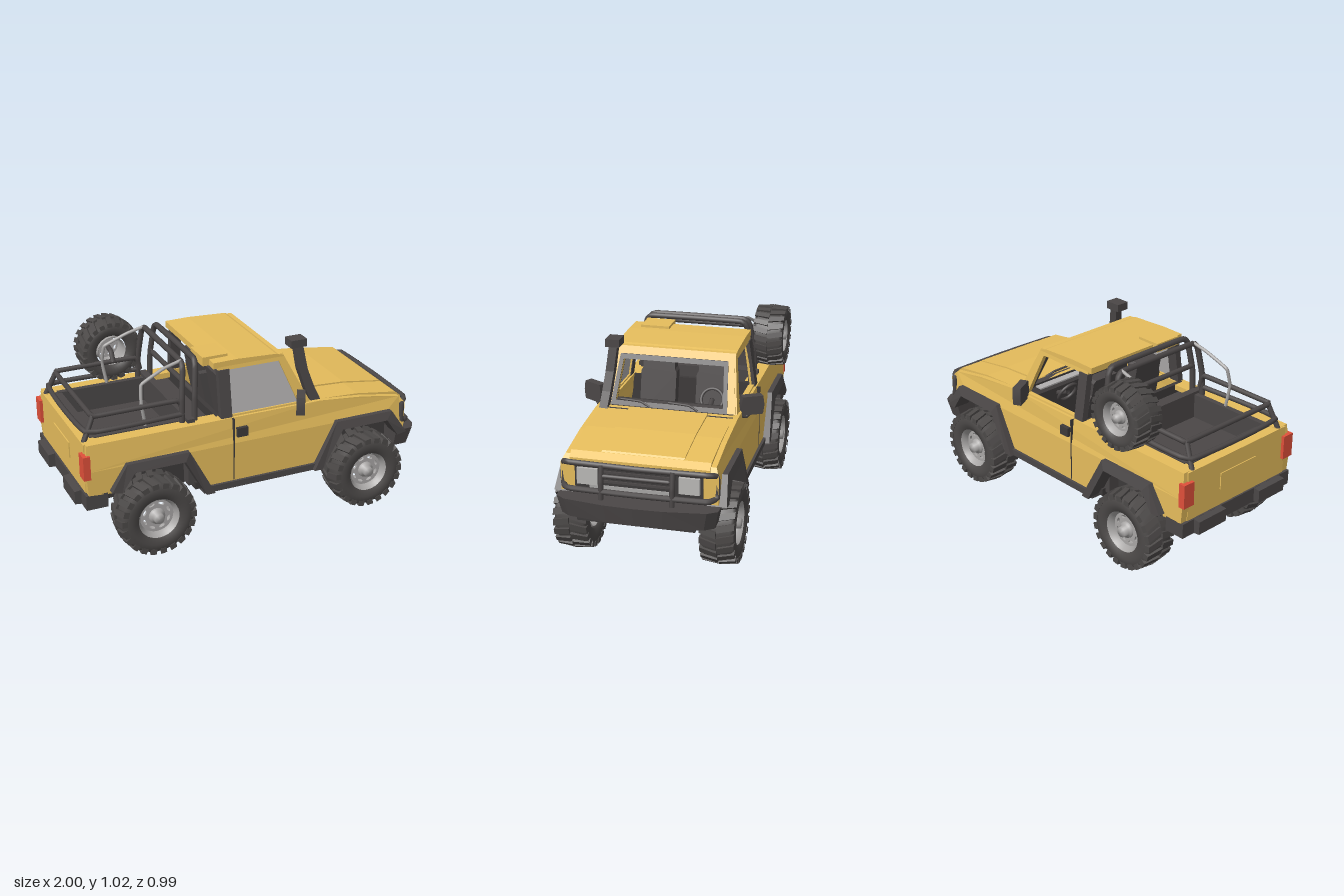
import * as THREE from 'three';

const mat = (name, color, side = THREE.FrontSide) => {
  const m = new THREE.MeshStandardMaterial({ color, side });
  m.name = name;
  return m;
};

export function createModel() {
  const model = new THREE.Group();
  model.name = 'offRoadPickup';
  const paint = mat('yellowPaint', 0xe6bd5c);
  const trim = mat('darkTrim', 0x4b4747, THREE.DoubleSide);
  const rubber = mat('tyreRubber', 0x4c4948);
  const under = mat('blackUnderbody', 0x3d3a3a);
  const metal = mat('greyMetal', 0xa8a6a5, THREE.DoubleSide);
  const glass = mat('greyGlass', 0xb2b0b0, THREE.DoubleSide);
  const red = mat('redLamp', 0xe0503a);
  const lamp = mat('headlampGrey', 0xbab8b6);

  const add = (name, geo, m, parent = model) => {
    const mesh = new THREE.Mesh(geo, m);
    mesh.name = name;
    parent.add(mesh);
    return mesh;
  };
  // box given by its ranges in x, y and z
  const box = (name, m, [x0, x1], [y0, y1], [z0, z1]) => {
    const g = new THREE.BoxGeometry(x1 - x0, y1 - y0, z1 - z0);
    g.translate((x0 + x1) / 2, (y0 + y1) / 2, (z0 + z1) / 2);
    return add(name, g, m);
  };
  const poly = pts => pts.map(p => new THREE.Vector2(...p));
  const extrude = (pts, depth, hole) => {
    const s = new THREE.Shape(poly(pts));
    if (hole) s.holes.push(new THREE.Path(poly(hole)));
    return new THREE.ExtrudeGeometry(s, { depth, bevelEnabled: false });
  };
  const warp = (g, rule) => {
    const p = g.attributes.position;
    for (let i = 0; i < p.count; i++) p.setXYZ(i, ...rule(p.getX(i), p.getY(i), p.getZ(i)));
    g.computeVertexNormals();
    return g;
  };
  const tube = (name, m, pts, r, closed = false) => {
    const c = new THREE.CatmullRomCurve3(pts.map(p => new THREE.Vector3(...p)), closed, 'catmullrom', 0.15);
    return add(name, new THREE.TubeGeometry(c, pts.length * 8, r, 8, closed), m);
  };
  // a side profile extruded on both sides, from z0 to z1
  const bothSides = (name, m, pts, z0, z1, rule, hole) => {
    for (const s of [1, -1]) {
      const g = extrude(pts, z1 - z0, hole);
      g.translate(0, 0, s > 0 ? z0 : -z1);
      if (rule) warp(g, (x, y, z) => [x, y, z - s * rule(y)]);
      add(name, g, m);
    }
  };
  const slab = (name, m, pts, z0, z1) => add(name, extrude(pts, z1 - z0).translate(0, 0, z0), m);

  // Body sides, bonnet and nose
  bothSides('bodySide', paint, [[-0.95, 0.4], [-0.96, 0.53], [-0.945, 0.67], [0.36, 0.67], [0.62, 0.645],
    [0.85, 0.605], [0.88, 0.57], [0.88, 0.42], [0.84, 0.42], [0.76, 0.53], [0.46, 0.53], [0.34, 0.31],
    [-0.305, 0.31], [-0.425, 0.53], [-0.725, 0.53], [-0.83, 0.39]], 0.35, 0.4, y => y > 0.6 ? 0.018 : 0);
  slab('bonnet', paint, [[0.3, 0.6], [0.3, 0.672], [0.6, 0.656], [0.84, 0.622], [0.875, 0.595], [0.875, 0.55]], -0.355, 0.355);
  slab('bonnetBulge', paint, [[0.32, 0.65], [0.34, 0.679], [0.6, 0.664], [0.83, 0.63], [0.86, 0.6]], -0.22, 0.2);
  box('bonnetSeam', trim, [0.355, 0.36], [0.6, 0.673], [-0.355, 0.355]);
  box('nose', paint, [0.83, 0.88], [0.42, 0.58], [-0.36, 0.36]);
  box('grille', under, [0.88, 0.886], [0.435, 0.57], [-0.325, 0.325]);
  box('grilleStrip', metal, [0.885, 0.892], [0.443, 0.467], [-0.17, 0.25]);
  for (const y of [0.49, 0.515, 0.54]) box('grilleSlat', trim, [0.885, 0.895], [y - 0.006, y + 0.006], [-0.18, 0.18]);
  for (const s of [1, -1]) {
    const h = add('headlamp', new THREE.BoxGeometry(0.02, 0.085, 0.105), lamp);
    h.position.set(0.892, 0.512, s * 0.258);
  }

  // Tailgate and bed
  box('tailgate', paint, [-0.955, -0.9], [0.4, 0.668], [-0.36, 0.36]);
  box('tailgatePanel', paint, [-0.961, -0.955], [0.49, 0.58], [-0.13, 0.13]);
  box('bedFloor', trim, [-0.9, -0.36], [0.51, 0.54], [-0.35, 0.35]);
  box('bedFrontWall', trim, [-0.39, -0.35], [0.31, 0.69], [-0.35, 0.35]);
  box('bedRearWall', trim, [-0.9, -0.86], [0.54, 0.672], [-0.3, 0.3]);
  for (const s of [1, -1]) {
    box('bedSideWall', trim, [-0.88, -0.36], [0.54, 0.675], s > 0 ? [0.28, 0.31] : [-0.31, -0.28]);
    box('bedRim', paint, [-0.94, -0.21], [0.64, 0.67], s > 0 ? [0.3, 0.36] : [-0.36, -0.3]);
    box('tailLamp', red, [-0.972, -0.935], [0.49, 0.62], s > 0 ? [0.335, 0.404] : [-0.404, -0.335]);
  }
  box('rearDeck', trim, [-0.36, -0.21], [0.58, 0.62], [-0.35, 0.35]);

  // Underbody: flat belly, shallow keels over the axles, short axle stubs
  box('rearBelly', under, [-0.93, -0.34], [0.3, 0.53], [-0.285, 0.285]);
  box('engineBay', under, [0.34, 0.86], [0.295, 0.6], [-0.285, 0.285]);
  box('cabFloor', under, [-0.36, 0.36], [0.29, 0.33], [-0.37, 0.37]);
  bothSides('sill', trim, [[-0.33, 0.28], [-0.33, 0.315], [0.34, 0.315], [0.34, 0.28]], 0.35, 0.415);
  for (const x of [-0.6, 0.635]) {
    slab('axleKeel', under, [[x - 0.24, 0.31], [x - 0.08, 0.215], [x + 0.08, 0.215], [x + 0.24, 0.31]], -0.17, 0.17);
    for (const s of [1, -1]) {
      add('axleArm', new THREE.CylinderGeometry(0.032, 0.048, 0.15, 12).rotateX(s * Math.PI / 2).translate(x, 0.235, s * 0.225), under);
      add('axleStub', new THREE.CylinderGeometry(0.03, 0.03, 0.06, 12).rotateX(Math.PI / 2).translate(x, 0.225, s * 0.325), metal);
    }
  }

  // Wheel-arch flares, mirrored front to rear
  const flare = [[0.31, 0.285], [0.36, 0.285], [0.475, 0.5], [0.75, 0.5], [0.82, 0.4], [0.875, 0.41], [0.785, 0.545], [0.445, 0.545]];
  const flareLean = y => y > 0.53 ? 0.015 : 0;
  bothSides('frontFlare', trim, flare, 0.34, 0.44, flareLean);
  bothSides('rearFlare', trim, flare.map(([x, y]) => [0.035 - x, y]).reverse(), 0.34, 0.44, flareLean);

  // Bumpers and bull bar
  const bumper = [[0.83, -0.41], [0.93, -0.41], [0.965, -0.36], [0.995, -0.15], [1, 0], [0.995, 0.15], [0.965, 0.36], [0.93, 0.41], [0.83, 0.41]];
  add('frontBumper', warp(extrude(bumper, 0.1).rotateX(Math.PI / 2).translate(0, 0.41, 0),
    (x, y, z) => [y < 0.35 && x > 0.9 ? x - 0.02 : x, y, y < 0.35 ? z * 0.95 : z]), trim);
  box('bumperSkid', under, [0.8, 0.95], [0.295, 0.33], [-0.3, 0.3]);
  box('rearBumper', trim, [-0.965, -0.85], [0.32, 0.4], [-0.4, 0.4]);
  bothSides('rearBumperStep', trim, [[-1, 0.325], [-0.96, 0.32], [-0.96, 0.4], [-1, 0.395]], 0.125, 0.32);
  tube('bullBarFrame', trim, [[0.87, 0.455, -0.39], [0.92, 0.45, -0.35], [0.93, 0.45, 0], [0.92, 0.45, 0.35], [0.87, 0.455, 0.39],
    [0.865, 0.565, 0.39], [0.9, 0.58, 0.35], [0.91, 0.58, 0], [0.9, 0.58, -0.35], [0.865, 0.565, -0.39]], 0.015, true);
  tube('bullBarMiddle', trim, [[0.915, 0.53, -0.18], [0.92, 0.53, 0.18]], 0.011);
  for (const s of [1, -1]) tube('bullBarUpright', trim, [[0.93, 0.4, s * 0.18], [0.925, 0.5, s * 0.18], [0.91, 0.585, s * 0.18]], 0.014);

  // Cab frame: windscreen surround, door frames and roof
  const screen = (name, m, outer, hole, depth, off) => {
    const g = extrude(outer, depth, hole).rotateY(Math.PI / 2);
    return add(name, warp(g, (x, y, z) => [x + off + 0.31 - (y - 0.66) * 0.52, y, z]), m);
  };
  const opening = [[-0.29, 0.695], [0.29, 0.695], [0.272, 0.893], [-0.272, 0.893]];
  screen('windscreenFrame', paint, [[-0.36, 0.66], [0.36, 0.66], [0.315, 0.955], [-0.315, 0.955]], opening, 0.03, -0.025);
  screen('windscreenSeal', trim, [[-0.315, 0.67], [0.315, 0.67], [0.292, 0.917], [-0.292, 0.917]], opening, 0.04, -0.03);
  for (const z of [0.1, -0.16]) tube('wiper', trim, [[0.325, 0.68, z], [0.312, 0.7, z + 0.05], [0.308, 0.705, z + 0.16]], 0.006);
  const lean = y => Math.max(0, y - 0.66) * 0.15;
  bothSides('doorFrame', paint, [[-0.21, 0.65], [0.315, 0.65], [0.16, 0.955], [-0.21, 0.955]], 0.345, 0.37, lean,
    [[-0.15, 0.68], [0.235, 0.68], [0.135, 0.92], [-0.15, 0.92]]);
  bothSides('centrePillar', trim, [[-0.212, 0.67], [-0.15, 0.67], [-0.15, 0.925], [-0.212, 0.925]], 0.34, 0.376, lean);
  const pane = extrude([[-0.15, 0.675], [0.24, 0.675], [0.137, 0.922], [-0.15, 0.922]], 0.005).translate(0, 0, 0.355);
  add('doorGlass', warp(pane, (x, y, z) => [x, y, z - lean(y)]), glass);
  slab('roof', paint, [[-0.235, 0.935], [-0.235, 0.968], [-0.1, 0.97], [0.12, 0.96], [0.165, 0.945], [0.165, 0.93]], -0.328, 0.328);
  box('roofScoop', paint, [-0.27, -0.13], [0.935, 0.983], [0.11, 0.27]);

  // Door details and mirrors
  for (const s of [1, -1]) {
    const span = (a, b) => s > 0 ? [a, b] : [-b, -a];
    box('doorSeam', under, [-0.155, -0.149], [0.32, 0.67], span(0.37, 0.402));
    box('doorHandle', under, [-0.135, -0.075], [0.565, 0.615], span(0.385, 0.41));
    const m = add('mirror', new THREE.BoxGeometry(0.045, 0.1, 0.125, 1, 2, 2), trim);
    warp(m.geometry, (x, y, z) => [x, y, Math.abs(y) > 0.04 ? z * 0.88 : z]);
    m.position.set(0.22, 0.705, s * 0.427);
    m.rotation.y = -s * 0.5;
    tube('mirrorArm', trim, [[0.26, 0.66, s * 0.36], [0.24, 0.645, s * 0.4], [0.225, 0.67, s * 0.42]], 0.014);
  }

  // Snorkel
  const stem = extrude([[0.33, 0.63], [0.38, 0.65], [0.335, 0.75], [0.3, 0.85], [0.275, 0.99], [0.23, 0.99], [0.25, 0.85], [0.285, 0.74]], 0.045);
  add('snorkelStem', warp(stem, (x, y, z) => [x, y, z + 0.32 - (y - 0.63) * 0.1]), trim);
  box('snorkelHead', trim, [0.2, 0.29], [0.98, 1.022], [0.27, 0.345]);

  // Cab interior
  box('dashboard', under, [0.19, 0.32], [0.5, 0.672], [-0.35, 0.35]);
  box('dashboardTop', glass, [0.225, 0.285], [0.672, 0.68], [-0.28, 0.27]);
  box('cabRearWall', under, [-0.225, -0.2], [0.31, 0.67], [-0.36, 0.36]);
  for (const z of [-0.16, 0.155]) {
    box('seatCushion', trim, [-0.17, 0.07], [0.33, 0.52], [z - 0.1, z + 0.1]);
    const back = extrude([[-0.1, 0.5], [0.1, 0.5], [0.1, 0.74], [0.09, 0.755], [0.09, 0.83], [0.075, 0.845], [-0.075, 0.845],
      [-0.09, 0.83], [-0.09, 0.755], [-0.1, 0.74]], 0.07);
    add('seatBack', warp(back.rotateY(Math.PI / 2), (x, y, zz) => [x - 0.1 - (y - 0.5) * 0.2, y, zz + z]), trim);
  }
  const steer = add('steeringWheel', new THREE.TorusGeometry(0.06, 0.009, 8, 24), trim);
  steer.position.set(0.11, 0.67, -0.19);
  steer.rotation.set(0, Math.PI / 2, 0.5, 'ZYX');
  tube('steeringColumn', trim, [[0.11, 0.67, -0.19], [0.24, 0.62, -0.19]], 0.014);

  // Roll hoops, bed rails and braces
  for (const [x, h] of [[-0.32, 1], [-0.39, 0.995]]) {
    tube('rollHoop', trim, [[x - 0.02, 0.63, -0.32], [x - 0.015, 0.8, -0.315], [x, 0.95, -0.29], [x + 0.005, h - 0.015, -0.25],
      [x + 0.005, h - 0.015, 0.25], [x, 0.95, 0.29], [x - 0.015, 0.8, 0.315], [x - 0.02, 0.63, 0.32]], 0.016);
  }
  tube('hoopCrossBar', trim, [[-0.335, 0.82, -0.31], [-0.335, 0.82, 0.31]], 0.014);
  tube('upperBedRail', trim, [[-0.4, 0.72, 0.31], [-0.43, 0.79, 0.31], [-0.87, 0.79, 0.31], [-0.885, 0.79, 0.29],
    [-0.885, 0.79, -0.29], [-0.87, 0.79, -0.31], [-0.43, 0.79, -0.31], [-0.4, 0.72, -0.31]], 0.014);
  tube('lowerBedRail', trim, [[-0.4, 0.715, 0.32], [-0.92, 0.715, 0.32], [-0.92, 0.715, -0.32], [-0.4, 0.715, -0.32]], 0.014);
  for (const s of [1, -1]) {
    tube('railEnd', trim, [[-0.88, 0.79, s * 0.3], [-0.94, 0.66, s * 0.32]], 0.014);
    tube('hoopBrace', metal, [[-0.385, 0.985, s * 0.26], [-0.48, 0.96, s * 0.265], [-0.61, 0.9, s * 0.28], [-0.62, 0.8, s * 0.3], [-0.6, 0.68, s * 0.295]], 0.009);
  }

  // Wheels with staggered tread lugs and a pierced rim
  const makeWheel = name => {
    const w = new THREE.Group();
    w.name = name;
    const turn = (pts, n) => new THREE.LatheGeometry(poly(pts), n).rotateX(Math.PI / 2);
    add('tyre', turn([[0.105, -0.06], [0.112, -0.078], [0.15, -0.088], [0.185, -0.084], [0.198, -0.068], [0.202, 0],
      [0.198, 0.068], [0.185, 0.084], [0.15, 0.088], [0.112, 0.078], [0.105, 0.06]], 40), rubber, w);
    for (let i = 0; i < 44; i++) {
      const s = i % 2 ? 1 : -1, a = i * Math.PI / 22;
      const g = new THREE.BoxGeometry(0.034, 0.03, 0.086);
      warp(g, (x, y, z) => [x + s * z * 0.25, y - (s * z > 0 ? 0.01 : 0), z]);
      add('treadLug', g.translate(0, 0.2, s * 0.045).rotateZ(a), rubber, w);
    }
    add('rimBarrel', turn([[0.098, -0.075], [0.088, -0.06], [0.088, 0.03], [0.098, 0.06], [0.112, 0.078]], 32), metal, w);
    const disc = new THREE.Shape().absarc(0, 0, 0.092, 0, Math.PI * 2);
    for (let i = 0; i < 8; i++) {
      const a = i * Math.PI / 4 + 0.39;
      disc.holes.push(new THREE.Path().absellipse(0.07 * Math.cos(a), 0.07 * Math.sin(a), 0.008, 0.017, 0, Math.PI * 2, true, a));
    }
    add('rimDisc', new THREE.ExtrudeGeometry(disc, { depth: 0.012, bevelEnabled: false, curveSegments: 16 }).translate(0, 0, 0.03), metal, w);
    add('hub', turn([[0.045, 0.04], [0.042, 0.055], [0.03, 0.06], [0.027, 0.085], [0, 0.088]], 20), metal, w);
    model.add(w);
    return w;
  };
  for (const [end, x] of [['front', 0.635], ['rear', -0.6]]) for (const s of [1, -1]) {
    const w = makeWheel(end + (s > 0 ? 'Left' : 'Right') + 'Wheel');
    w.position.set(x, 0.218, s * 0.38);
    if (s < 0) w.rotation.y = Math.PI;
  }
  const spare = makeWheel('spareWheel');
  spare.position.set(-0.555, 0.847, -0.39);
  spare.rotation.y = Math.PI;
  spare.scale.set(0.81, 0.81, 0.95);
  tube('spareMount', trim, [[-0.555, 0.79, -0.3], [-0.555, 0.84, -0.33], [-0.555, 0.85, -0.38]], 0.014);

  return model;
}
